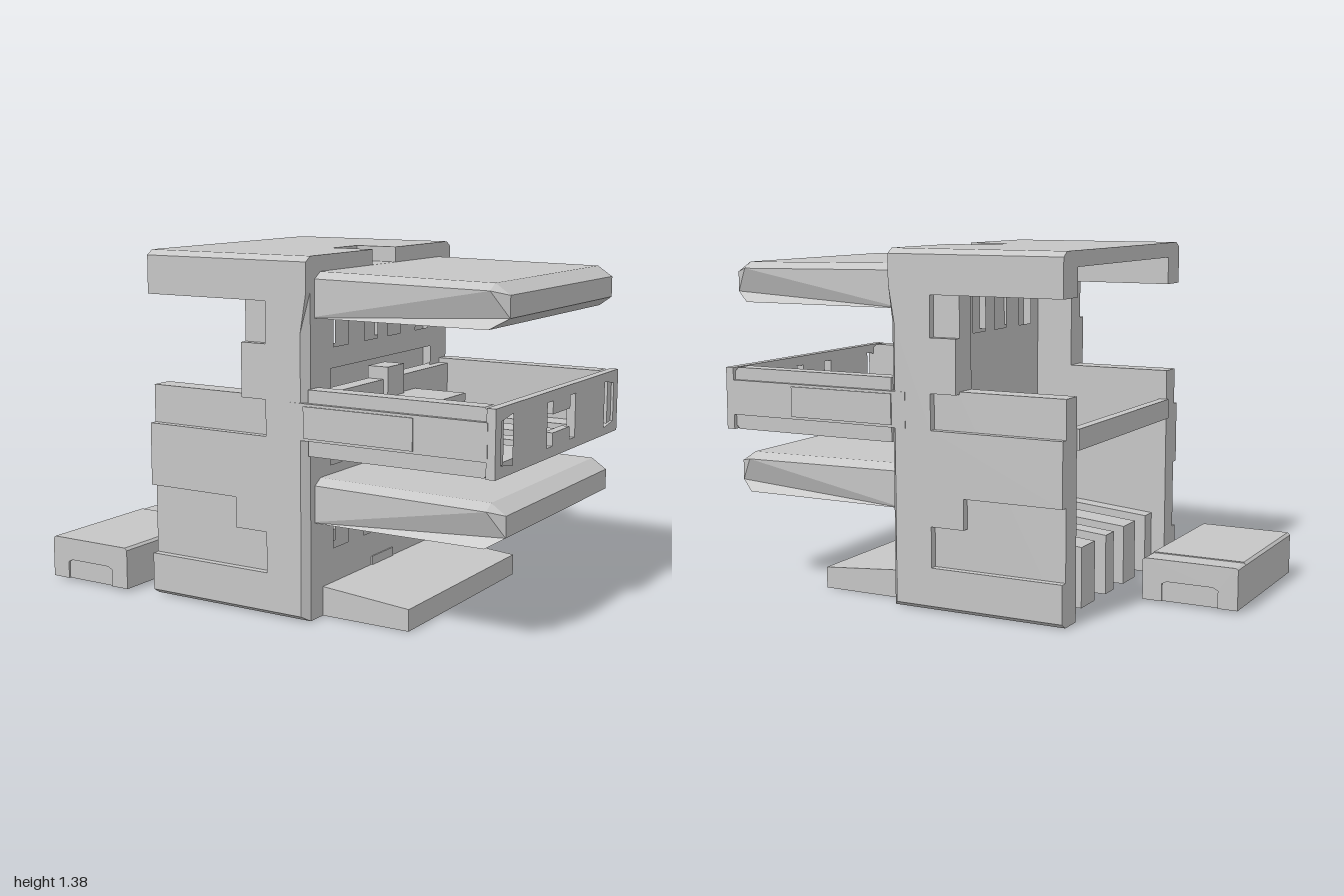
import * as THREE from 'three';

const grey = new THREE.MeshStandardMaterial({ color: 0xc6c6c6, flatShading: true });
grey.name = 'plain grey';

const ZC = -0.015; // middle of the cabinet in z
const SLOTS = [[0.25, 0.36], [0.03, 0.13], [-0.155, -0.05], [-0.385, -0.28]];

function add(group, name, geometry) {
  const mesh = new THREE.Mesh(geometry, grey);
  mesh.name = name;
  group.add(mesh);
  return mesh;
}

function box(group, name, x0, x1, y0, y1, z0, z1) {
  const g = new THREE.BoxGeometry(x1 - x0, y1 - y0, z1 - z0);
  g.translate((x0 + x1) / 2, (y0 + y1) / 2, (z0 + z1) / 2);
  return add(group, name, g);
}

const outline = (pts, Type = THREE.Shape) => new Type(pts.map(p => new THREE.Vector2(...p)));
const rect = (a, b, c, d) => [[a, c], [b, c], [b, d], [a, d]];

// x-y outline extruded from z0 to z1
function alongZ(pts, z0, z1) {
  const g = new THREE.ExtrudeGeometry(outline(pts), { depth: z1 - z0, bevelEnabled: false });
  return g.translate(0, 0, z0);
}

// z-y outline with holes, extruded from x0 to x1
function alongX(pts, holes, x0, x1) {
  const flip = p => p.map(([z, y]) => [-z, y]);
  const s = outline(flip(pts));
  s.holes = holes.map(h => outline(flip(h), THREE.Path));
  const g = new THREE.ExtrudeGeometry(s, { depth: x1 - x0, bevelEnabled: false });
  return g.rotateY(Math.PI / 2).translate(x0, 0, 0);
}

// Move every vertex by a rule
function reshape(geometry, rule) {
  const p = geometry.attributes.position;
  const v = new THREE.Vector3();
  for (let i = 0; i < p.count; i++) {
    rule(v.fromBufferAttribute(p, i));
    p.setXYZ(i, v.x, v.y, v.z);
  }
  geometry.computeVertexNormals();
  return geometry;
}

// Hollow cabinet: cut-out side walls, top, floor with teeth, front panel
function cabinet() {
  const g = new THREE.Group();
  g.name = 'cabinet';
  const core = [[-0.5, 0], [0.23, 0], [0.23, 1.38], [-0.5, 1.38], [-0.5, 1.21], [-0.06, 1.21],
    [-0.06, 0.85], [-0.5, 0.85]];
  const skin = [[-0.5, 0], [0.23, 0], [0.23, 1.1], [0.23, 1.25], [0.23, 1.38], [-0.5, 1.38],
    [-0.5, 1.21], [0.05, 1.21], [0.05, 1.05], [-0.06, 1.05], [-0.06, 0.84], [0.05, 0.84],
    [0.05, 0.7], [-0.5, 0.7], [-0.5, 0.45], [-0.09, 0.45], [-0.09, 0.33], [0.05, 0.33],
    [0.05, 0.17], [-0.5, 0.17]];
  // Wall skins have chamfered top, bottom and lower front edges
  const chamfer = v => {
    if (Math.abs(v.z - ZC) < 0.55) return;
    if (v.x > 0.2 && v.y < 1.2) v.x = 0.205;
    v.y = THREE.MathUtils.clamp(v.y, 0.02, 1.36);
  };
  add(g, 'leftWall', alongZ(core, 0.43, 0.52));
  add(g, 'leftWallSkin', reshape(alongZ(skin, 0.52, 0.55), chamfer));
  add(g, 'rightWall', alongZ(core, -0.55, -0.46));
  add(g, 'rightWallSkin', reshape(alongZ(skin, -0.58, -0.55), chamfer));

  // Top with a square notch at its front edge
  const top = outline([[-0.5, 0.55], [-0.5, -0.52], [0.23, -0.52], [0.23, -0.07], [0.05, -0.07],
    [0.05, 0.11], [0.23, 0.11], [0.23, 0.55]]);
  const topGeo = new THREE.ExtrudeGeometry(top, { depth: 0.06, bevelEnabled: false });
  add(g, 'top', topGeo.rotateX(-Math.PI / 2).translate(0, 1.32, 0));
  box(g, 'notchFloor', 0.03, 0.23, 1.27, 1.32, -0.13, 0.09);

  // Front panel in two layers: the outer one has a wide recess for the tray
  const face = rect(-0.47, 0.44, 0, 1.32);
  const windows = SLOTS.flatMap(([a, b]) => [rect(a, b, 1.03, 1.2), rect(a, b, 0.25, 0.42)]);
  add(g, 'frontPanelBack', alongX(face, windows, 0.1, 0.17));
  add(g, 'frontPanel', alongX(face, [...windows, rect(-0.41, 0.38, 0.58, 0.95)], 0.17, 0.23));
  box(g, 'latch', 0.22, 0.235, 0.11, 0.15, -0.1, 0.07);

  // Floor and rear teeth
  box(g, 'floor', 0, 0.23, 0, 0.11, -0.47, 0.44);
  const tooth = [[-0.44, 0], [0.12, 0], [0.12, 0.27], [-0.1, 0.27], [-0.44, 0.24]];
  for (const [a, b] of [[0.36, 0.44], [0.13, 0.25], [-0.05, 0.03], [-0.28, -0.155], [-0.47, -0.385]])
    add(g, 'floorTooth', alongZ(tooth, a, b));
  box(g, 'rearCrossbar', -0.51, -0.47, 0.65, 0.73, -0.46, 0.43);
  return g;
}

// Shelf with a tapered front end and shallow slots underneath
function shelf(name, y) {
  const g = new THREE.Group();
  g.name = name;
  const full = [[0.2, 0], [0.935, 0], [1, 0.04], [1, 0.12], [0.94, 0.16], [0.2, 0.17]];
  const slotted = [[0.2, 0.04], [0.88, 0.04], [0.88, 0], ...full.slice(1)];
  const cuts = [0.45, ...SLOTS.flatMap(([a, b]) => [b, a]), -0.48];
  for (let i = 0; i < cuts.length - 1; i++)
    add(g, i % 2 ? 'slotPart' : 'solidPart', alongZ(i % 2 ? slotted : full, cuts[i + 1], cuts[i]));
  // Upright sides, drawn in at the front end and along the top edge
  for (const s of [1, -1]) {
    const [a, b] = [ZC + s * 0.465, ZC + s * 0.505].sort((p, q) => p - q);
    add(g, 'shelfSide', reshape(alongZ(full, a, b), v => {
      if ((v.z - ZC) * s < 0.49) return;
      if (v.x > 0.97) v.z = ZC + s * 0.467;
      if (v.y > 0.15) v.y -= 0.025;
    }));
  }
  g.position.y = y;
  return g;
}

// Open tray with a pierced front plate and a slotted floor
function tray() {
  const g = new THREE.Group();
  g.name = 'tray';
  for (const s of [1, -1]) {
    const span = (a, b) => [ZC + s * a, ZC + s * b].sort((p, q) => p - q);
    add(g, 'traySide', alongZ([[0.23, 0.64], [0.95, 0.64], [0.99, 0.68], [0.99, 0.85], [0.95, 0.89],
      [0.23, 0.89]], ...span(0.48, 0.55)));
    box(g, 'trayRunner', 0.16, 0.97, 0.7, 0.84, ...span(0.54, 0.567));
    box(g, 'runnerInlay', 0.22, 0.68, 0.71, 0.83, ...span(0.565, 0.572));
  }
  const ends = [1, -1].map(s => [[0.425, 0.67], [0.52, 0.685], [0.52, 0.84], [0.425, 0.855]]
    .map(([z, y]) => [ZC + s * z, y]));
  const centre = [[0.115, 0.68], [0.065, 0.68], [0.065, 0.73], [-0.095, 0.73], [-0.095, 0.68],
    [-0.145, 0.68], [-0.145, 0.85], [-0.095, 0.85], [-0.095, 0.8], [0.065, 0.8], [0.065, 0.85],
    [0.115, 0.85]];
  add(g, 'trayFront', alongX(rect(-0.58, 0.55, 0.64, 0.89), [...ends, centre], 0.965, 1));
  const floor = outline(rect(0.2, 0.97, -0.48, 0.51));
  floor.holes = SLOTS.map(([a, b]) => outline(rect(0.32, 0.88, -b, -a), THREE.Path));
  const floorGeo = new THREE.ExtrudeGeometry(floor, { depth: 0.04, bevelEnabled: false });
  add(g, 'trayFloor', floorGeo.rotateX(-Math.PI / 2).translate(0, 0.64, 0));
  box(g, 'trayTab', 0.2, 0.29, 0.61, 0.92, -0.08, 0.05);
  box(g, 'trayRearWall', 0.2, 0.27, 0.66, 0.87, -0.5, 0.47);
  box(g, 'trayPlatform', 0.25, 0.5, 0.66, 0.8, -0.21, 0.18);
  return g;
}

// Sloping step at the foot
function step() {
  const g = new THREE.Group();
  g.name = 'footStep';
  add(g, 'stepPlate', alongZ([[0.2, 0], [0.605, 0], [0.605, 0.085], [0.23, 0.115], [0.2, 0.115]], -0.47, 0.435));
  return g;
}

// Separate low block with shallow recesses in both ends
function block() {
  const g = new THREE.Group();
  g.name = 'looseBlock';
  const profile = [[-1, 0.01], [-0.61, 0.01], [-0.61, 0.17], [-0.62, 0.18], [-0.99, 0.18], [-1, 0.17]];
  const cap = [[-1, 0.01], [-0.92, 0.01], [-0.92, 0.08], [-0.9, 0.09], [-0.71, 0.09], [-0.69, 0.08],
    [-0.69, 0.01], ...profile.slice(1)];
  const lower = pts => pts.map(([x, y]) => [x, Math.min(y, 0.176)]);
  add(g, 'blockBody', alongZ(profile, 0.015, 0.577));
  add(g, 'blockRear', alongZ(lower(profile), -0.07, 0.015));
  add(g, 'blockFrontCap', alongZ(cap, 0.577, 0.585));
  add(g, 'blockRearCap', alongZ(lower(cap), -0.078, -0.07));
  return g;
}

export function createModel() {
  const model = new THREE.Group();
  model.name = 'shelvedCabinet';
  model.add(cabinet(), shelf('upperShelf', 1.15), shelf('lowerShelf', 0.375), tray(), step(), block());
  return model;
}
